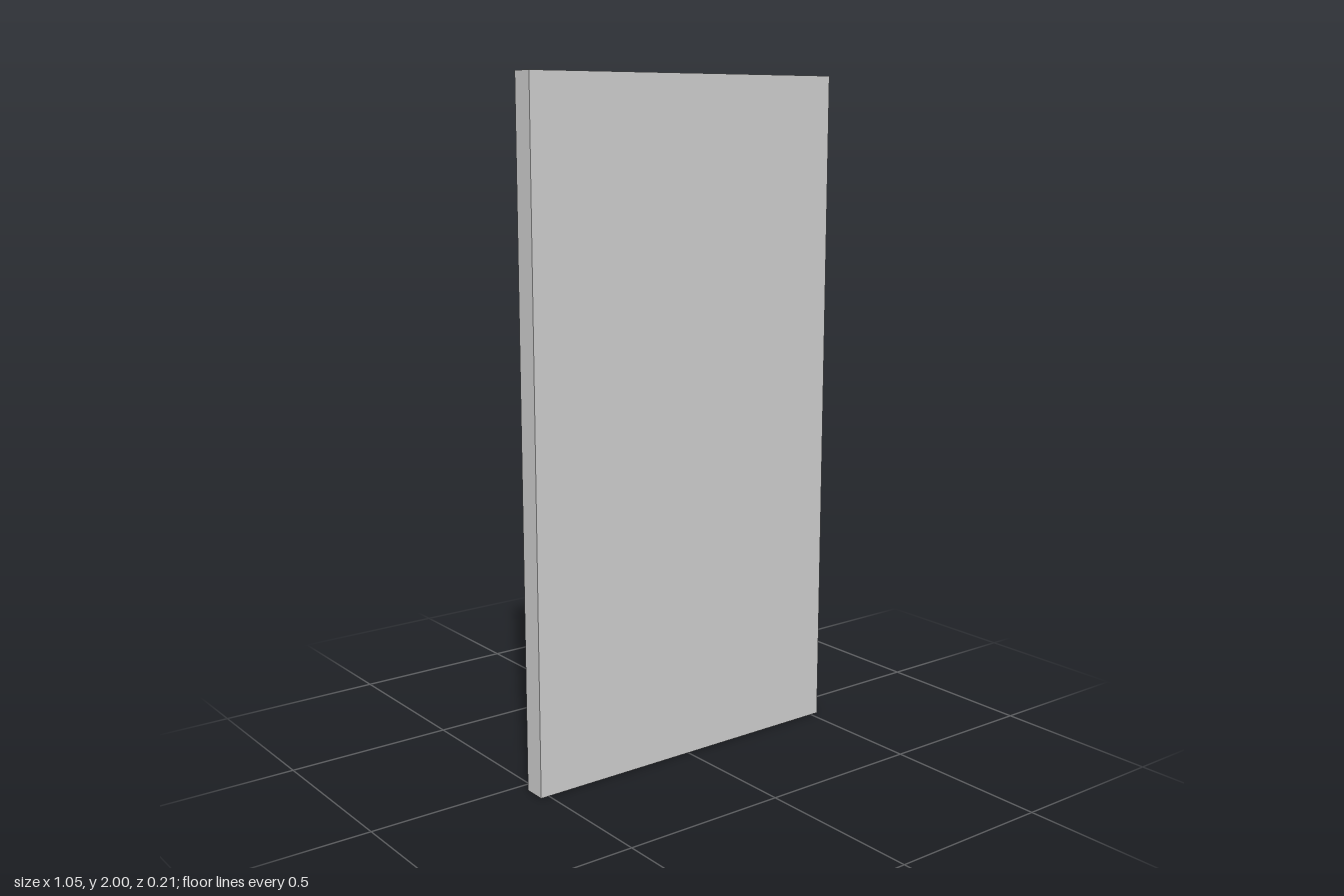
import * as THREE from 'three';

export function createModel() {
  const group = new THREE.Group();
  const material = new THREE.MeshStandardMaterial({ color: 0xcccccc, flatShading: true });

  // Plain door slab
  const door = new THREE.Mesh(new THREE.BoxGeometry(1.052, 2, 0.069), material);
  door.name = 'doorPanel';
  door.position.set(0, 1, 0.0695);
  group.add(door);

  // Eight-sided knob: flared base, narrow neck and ball, as [radius, distance outwards]
  const profile = [
    [0, 0], [0.037, 0], [0.035, 0.006], [0.019, 0.014], [0.018, 0.032],
    [0.035, 0.034], [0.044, 0.050], [0.044, 0.072], [0.034, 0.094],
    [0.019, 0.105], [0, 0.109],
  ].map(([r, h]) => new THREE.Vector2(r, h));
  const knobGeometry = new THREE.LatheGeometry(profile, 8, THREE.MathUtils.degToRad(-17));
  knobGeometry.rotateX(-Math.PI / 2); // point the knob to the back
  const knob = new THREE.Mesh(knobGeometry, material);
  knob.name = 'doorKnob';
  knob.position.set(-0.407, 1.06, 0.005);
  group.add(knob);

  return group;
}
